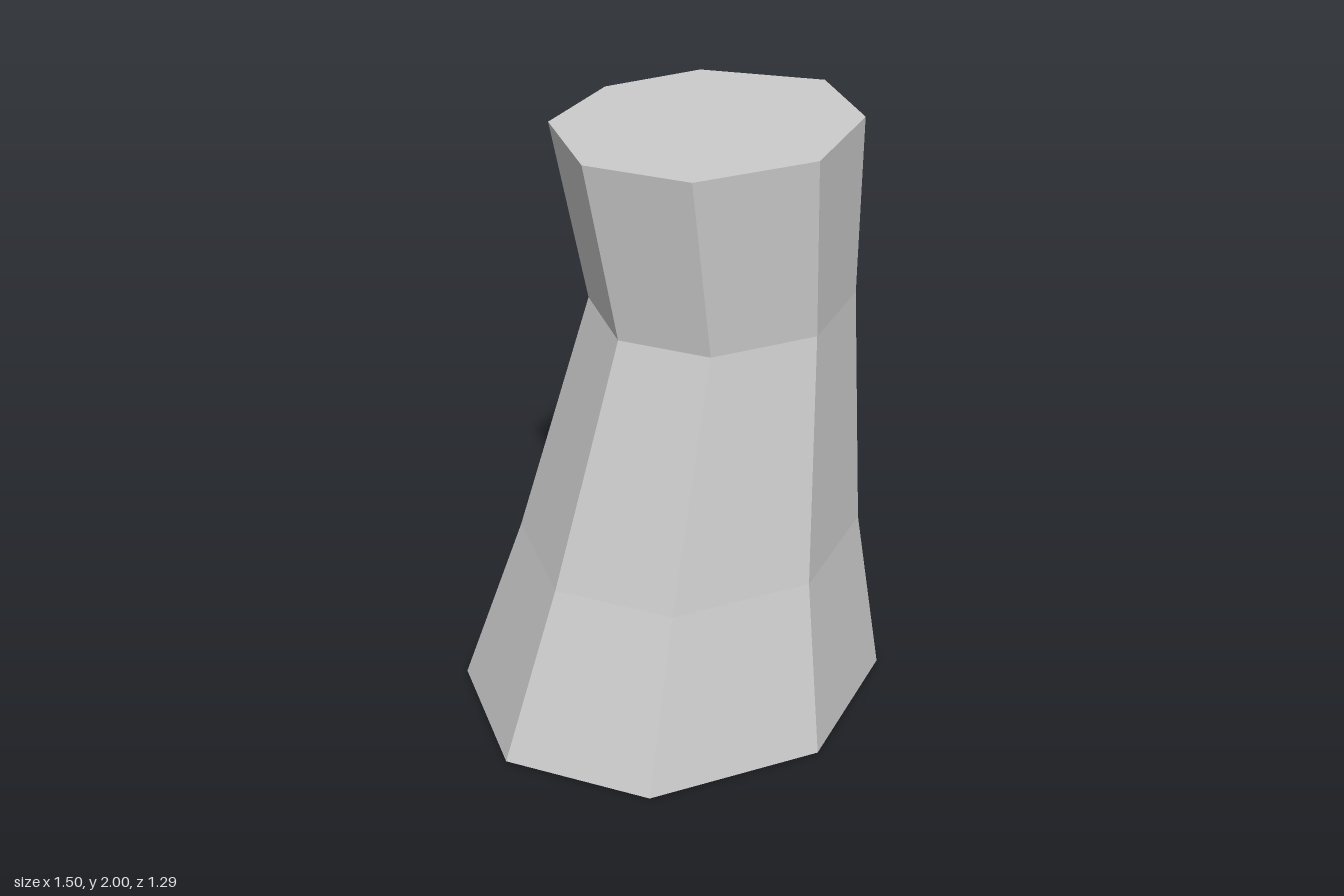
import * as THREE from 'three';

// Irregular eight-sided outline [x, z], shared by every level
const OUTLINE = [
  [-0.12, -0.645], [0.37, -0.56], [0.75, -0.1], [0.59, 0.37],
  [0.09, 0.645], [-0.49, 0.505], [-0.75, 0.07], [-0.58, -0.435],
];

// Levels of the leaning column: height, scale and centre of the outline
const LEVELS = [
  { y: 0, s: 1, x: 0, z: 0 },
  { y: 0.58, s: 0.795, x: 0.058, z: 0.015 },
  { y: 1.4, s: 0.6, x: 0.162, z: 0.04 },
  { y: 2, s: 0.682, x: 0.11, z: 0.024 },
];

const ring = ({ y, s, x, z }) =>
  OUTLINE.map(([px, pz]) => [px * s + x, y, pz * s + z]);

function flatGeometry(triangles) {
  const geometry = new THREE.BufferGeometry();
  geometry.setAttribute('position', new THREE.Float32BufferAttribute(triangles.flat(2), 3));
  geometry.computeVertexNormals();
  return geometry;
}

// Faceted wall between two rings
function wall(lower, upper) {
  const triangles = [];
  lower.forEach((a, i) => {
    const j = (i + 1) % lower.length;
    triangles.push([a, upper[i], upper[j]], [a, upper[j], lower[j]]);
  });
  return flatGeometry(triangles);
}

// Flat lid closing a ring, facing up or down
function cap(points, up) {
  const triangles = [];
  for (let i = 1; i < points.length - 1; i++) {
    const [a, b, c] = [points[0], points[i], points[i + 1]];
    triangles.push(up ? [a, c, b] : [a, b, c]);
  }
  return flatGeometry(triangles);
}

export function createModel() {
  const model = new THREE.Group();
  model.name = 'rockPillar';
  const stone = new THREE.MeshStandardMaterial({ color: 0xcccccc, flatShading: true });
  stone.name = 'grey stone';

  const add = (name, geometry) => {
    const mesh = new THREE.Mesh(geometry, stone);
    mesh.name = name;
    model.add(mesh);
  };

  const rings = LEVELS.map(ring);
  ['base', 'shaft', 'head'].forEach((name, i) => add(name, wall(rings[i], rings[i + 1])));
  add('topFace', cap(rings[3], true));
  add('bottomFace', cap(rings[0], false));
  return model;
}
